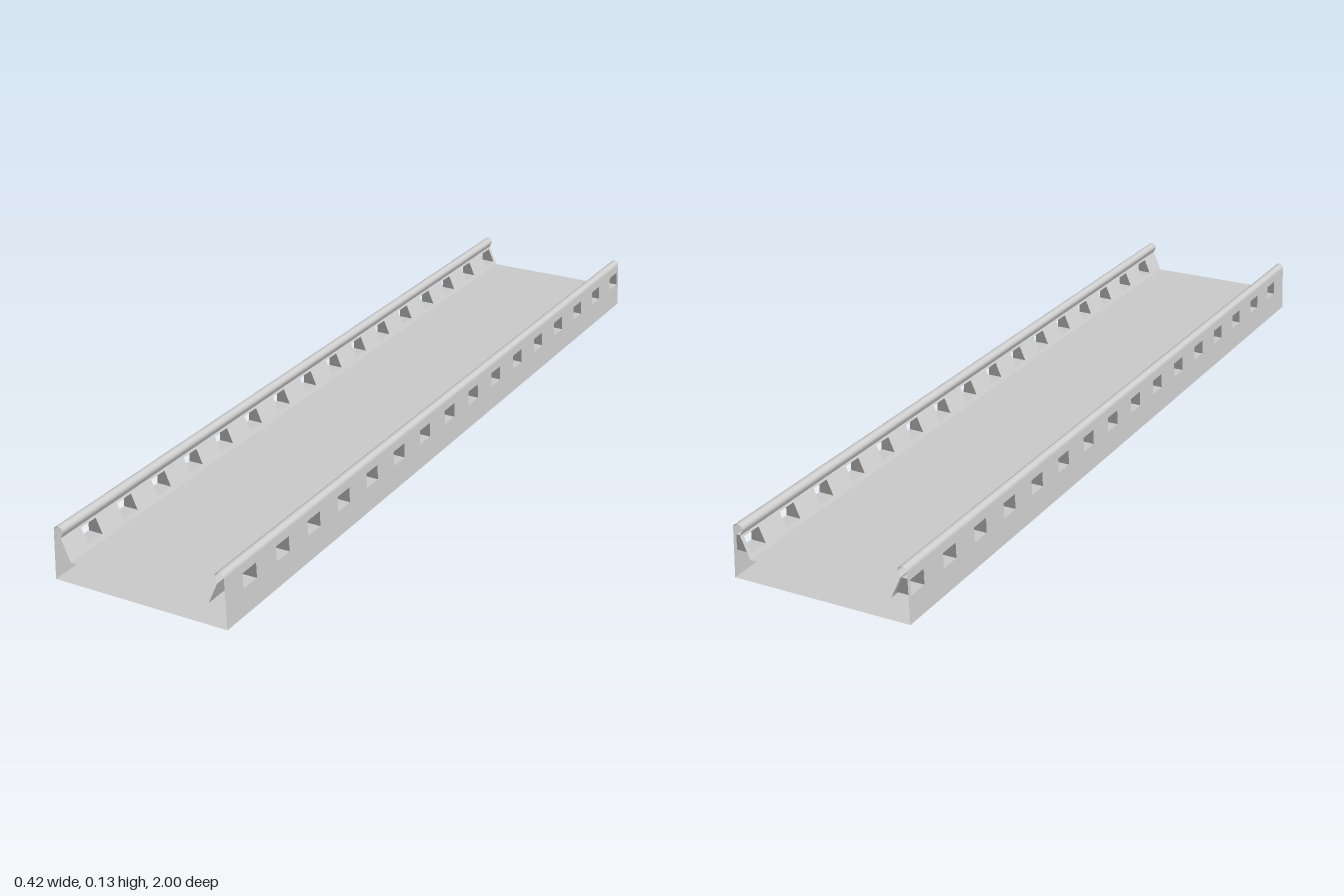
import * as THREE from 'three';

const HALF = 1;                       // half length of the tray
const FLOOR_Y = 0.05, NECK_Y = 0.1, RIM_Y = 0.115, RIM_R = 0.011;
const WIN_LOW = 0.06, WIN_TOP = 0.095, WIN_HALF = 0.025;
const windows = Array.from({ length: 16 }, (_, i) => 0.91 - i * 0.125);

const outerX = (y) => 0.21 - (0.004 * y) / RIM_Y;                            // nearly upright
const innerX = (y) => 0.168 + (0.022 * (y - FLOOR_Y)) / (NECK_Y - FLOOR_Y);  // sloping

const material = new THREE.MeshStandardMaterial({ color: 0xcccccc, side: THREE.DoubleSide });

function named(geometry, name) {
  const mesh = new THREE.Mesh(geometry, material);
  mesh.name = name;
  return mesh;
}

// Long flat skin with a row of window openings, laid onto the plane x = xAt(y)
function piercedSkin(y0, y1, xAt, side) {
  const rect = (target, z0, z1, a, b) =>
    target.moveTo(z0, a).lineTo(z1, a).lineTo(z1, b).lineTo(z0, b).closePath();
  const shape = rect(new THREE.Shape(), -HALF, HALF, y0, y1);
  for (const z of windows) {
    shape.holes.push(rect(new THREE.Path(), z - WIN_HALF, z + WIN_HALF, WIN_LOW, WIN_TOP));
  }
  const geometry = new THREE.ShapeGeometry(shape);
  const p = geometry.attributes.position;
  for (let i = 0; i < p.count; i++) {
    const z = p.getX(i), y = p.getY(i);
    p.setXYZ(i, side * xAt(y), y, z);
  }
  geometry.computeVertexNormals();
  return geometry;
}

// Strip swept along z from a list of [x, y] points
function sweptStrip(points, side) {
  const pos = [], index = [];
  points.forEach(([x, y], i) => {
    pos.push(side * x, y, -HALF, side * x, y, HALF);
    if (i) {
      const a = 2 * i - 2;
      index.push(a, a + 2, a + 1, a + 1, a + 2, a + 3);
    }
  });
  const geometry = new THREE.BufferGeometry();
  geometry.setAttribute('position', new THREE.Float32BufferAttribute(pos, 3));
  geometry.setIndex(index);
  geometry.computeVertexNormals();
  return geometry;
}

// Four-sided sleeve joining the outer and inner openings of one window
function windowSleeve(z, side) {
  const corners = [[WIN_LOW, -1], [WIN_LOW, 1], [WIN_TOP, 1], [WIN_TOP, -1]];
  const pos = [];
  for (let i = 0; i < 4; i++) {
    const [ya, sa] = corners[i], [yb, sb] = corners[(i + 1) % 4];
    const za = z + sa * WIN_HALF, zb = z + sb * WIN_HALF;
    const a = [side * outerX(ya), ya, za], b = [side * outerX(yb), yb, zb];
    const c = [side * innerX(yb), yb, zb], d = [side * innerX(ya), ya, za];
    pos.push(...a, ...b, ...c, ...a, ...c, ...d);
  }
  const geometry = new THREE.BufferGeometry();
  geometry.setAttribute('position', new THREE.Float32BufferAttribute(pos, 3));
  geometry.computeVertexNormals();
  return geometry;
}

function createRail(side, name) {
  const rail = new THREE.Group();
  rail.name = name;
  rail.add(named(piercedSkin(0, RIM_Y, outerX, side), 'outerWall'));
  rail.add(named(piercedSkin(FLOOR_Y, NECK_Y, innerX, side), 'innerSlope'));

  // Rounded rim curling over the top and back to the neck of the slope
  const rim = [];
  for (let i = 0; i <= 16; i++) {
    const t = (i / 16) * Math.PI * 1.12;
    rim.push([outerX(RIM_Y) - RIM_R + RIM_R * Math.cos(t), RIM_Y + RIM_R * Math.sin(t)]);
  }
  rim.push([0.187, 0.106], [innerX(NECK_Y), NECK_Y]);
  rail.add(named(sweptStrip(rim, side), 'roundedRim'));

  for (const z of windows) rail.add(named(windowSleeve(z, side), 'windowSleeve'));
  return rail;
}

function createPlate(halfWidth, y, up, name) {
  const geometry = new THREE.PlaneGeometry(2 * halfWidth, 2 * HALF);
  geometry.rotateX(up ? -Math.PI / 2 : Math.PI / 2).translate(0, y, 0);
  return named(geometry, name);
}

export function createModel() {
  const model = new THREE.Group();
  model.name = 'perforatedTray';
  // Hollow, open-ended base between two thin plates
  model.add(createPlate(0.21, 0, false, 'bottomPlate'));
  model.add(createPlate(innerX(FLOOR_Y), FLOOR_Y, true, 'floorPlate'));
  model.add(createRail(1, 'leftRail'), createRail(-1, 'rightRail'));
  return model;
}
